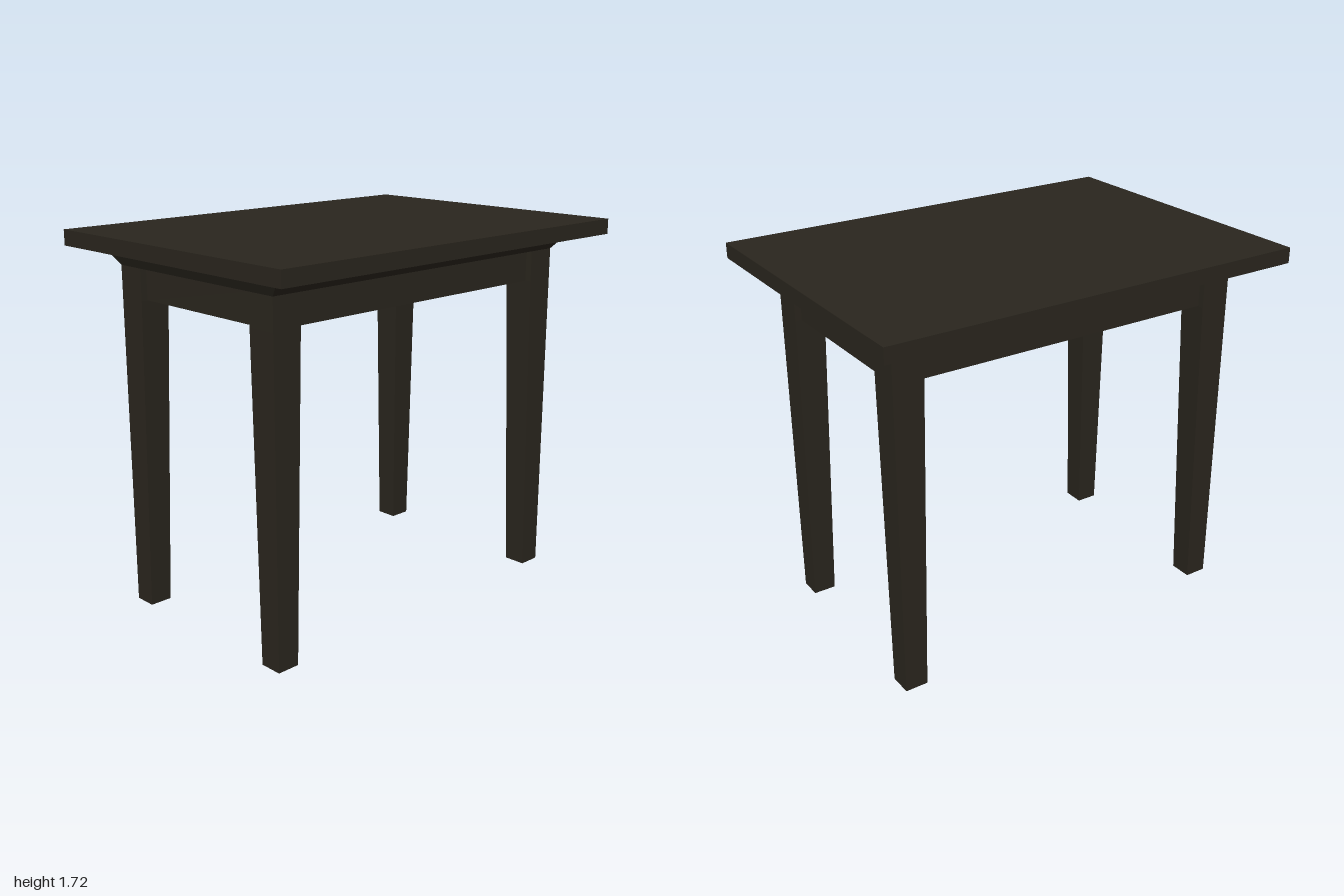
import * as THREE from 'three';

const LEG_X = 0.857, LEG_Z = 0.5;              // outer faces of the legs
const LEG_TOP = 0.14, LEG_FOOT = 0.105;        // leg widths
const APRON_LOW = 1.43, APRON_HIGH = 1.57, TOP_LOW = 1.645, TOP_HIGH = 1.715;
const RECESS = 0.03, THICK = 0.035;            // apron set-back and board thickness

export function createModel() {
  const table = new THREE.Group();
  table.name = 'table';
  const wood = new THREE.MeshStandardMaterial({ color: 0x2a261e, flatShading: true });

  function add(name, geometry, x, y, z) {
    const mesh = new THREE.Mesh(geometry, wood);
    mesh.name = name;
    mesh.position.set(x, y, z);
    table.add(mesh);
    return mesh;
  }

  // Table top
  add('tableTop', new THREE.BoxGeometry(2, TOP_HIGH - TOP_LOW, 1.43), 0, (TOP_LOW + TOP_HIGH) / 2, 0);

  // Sloped moulding, wider where it meets the top
  const moulding = new THREE.BoxGeometry(LEG_X * 2, TOP_LOW - APRON_HIGH, LEG_Z * 2);
  const m = moulding.attributes.position;
  for (let i = 0; i < m.count; i++) {
    if (m.getY(i) > 0) {
      m.setX(i, Math.sign(m.getX(i)) * 0.895);
      m.setZ(i, Math.sign(m.getZ(i)) * 0.573);
    }
  }
  moulding.computeVertexNormals();
  add('moulding', moulding, 0, (TOP_LOW + APRON_HIGH) / 2, 0);

  // Legs: straight beside the apron, then tapering on the two inner faces
  for (const sx of [-1, 1]) {
    for (const sz of [-1, 1]) {
      const leg = new THREE.BoxGeometry(LEG_TOP, APRON_HIGH, LEG_TOP, 1, 2, 1);
      leg.translate(0, APRON_HIGH / 2, 0);
      const p = leg.attributes.position;
      for (let i = 0; i < p.count; i++) {
        const y = p.getY(i);
        const width = y < 0.01 ? LEG_FOOT : LEG_TOP;
        if (y > 0.01 && y < APRON_HIGH - 0.01) p.setY(i, APRON_LOW);
        p.setX(i, sx * (LEG_X - (p.getX(i) * sx > 0 ? 0 : width)));
        p.setZ(i, sz * (LEG_Z - (p.getZ(i) * sz > 0 ? 0 : width)));
      }
      leg.computeVertexNormals();
      add((sz > 0 ? 'front' : 'back') + (sx > 0 ? 'Left' : 'Right') + 'Leg', leg, 0, 0, 0);
    }
  }

  // Apron boards, set back from the outer faces of the legs
  const height = APRON_HIGH - APRON_LOW, midY = (APRON_HIGH + APRON_LOW) / 2;
  const inset = RECESS + THICK / 2;
  for (const s of [-1, 1]) {
    add(s > 0 ? 'frontApron' : 'backApron',
      new THREE.BoxGeometry((LEG_X - LEG_TOP) * 2, height, THICK), 0, midY, s * (LEG_Z - inset));
    add(s > 0 ? 'leftApron' : 'rightApron',
      new THREE.BoxGeometry(THICK, height, (LEG_Z - LEG_TOP) * 2), s * (LEG_X - inset), midY, 0);
  }
  return table;
}
